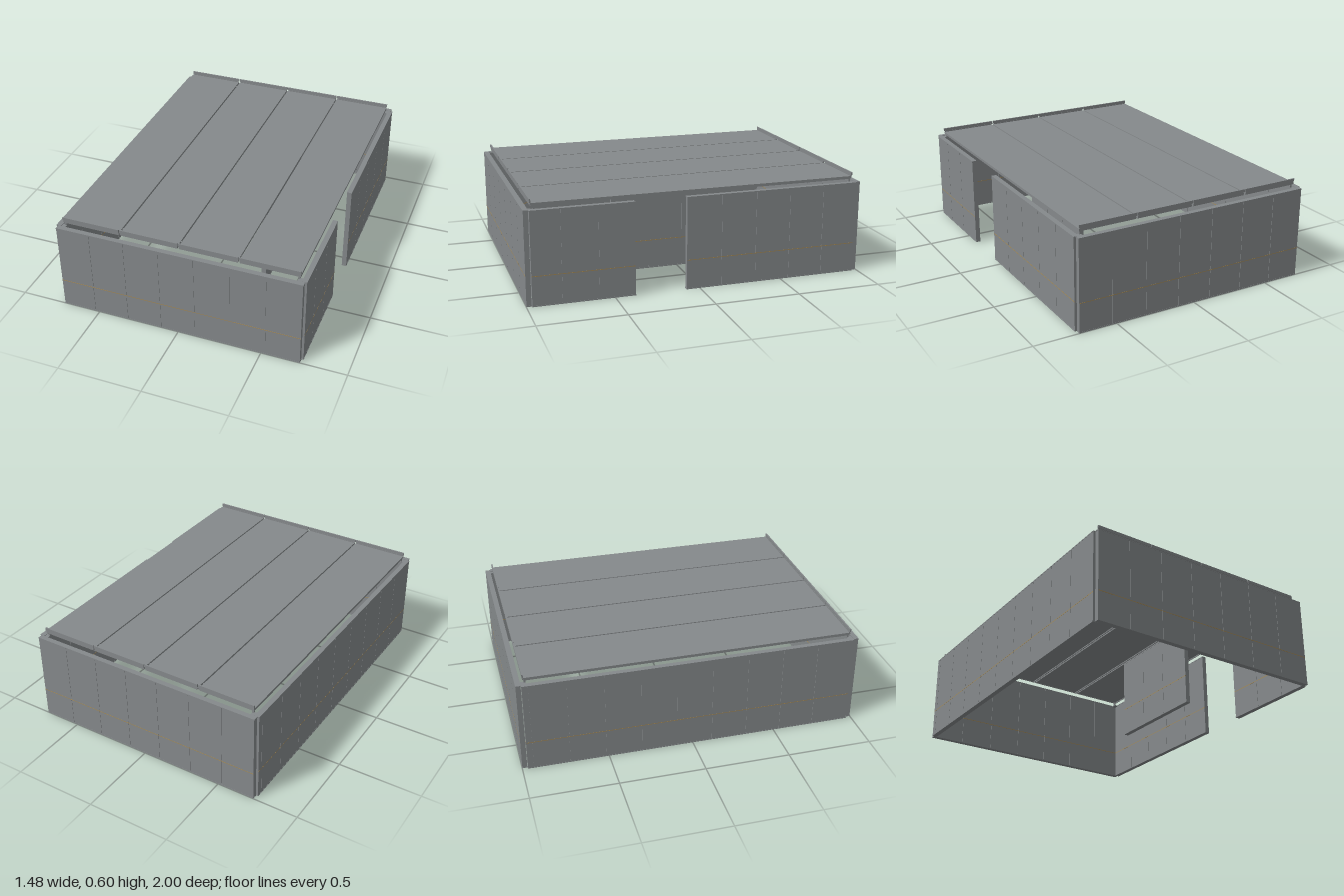
import * as THREE from 'three';

const steel = new THREE.MeshStandardMaterial({ color: 0x85898b });
steel.name = 'grey steel';
const tan = new THREE.MeshStandardMaterial({ color: 0xa58a55 });
tan.name = 'tan seam';

const THICK = 0.028, WALL_H = 0.547, BOARD = 0.21, GAP = 0.002;

function box(parent, name, mat, w, h, d, x, y, z) {
  const mesh = new THREE.Mesh(new THREE.BoxGeometry(w, h, d), mat);
  mesh.name = name;
  mesh.position.set(x, y, z);
  parent.add(mesh);
  return mesh;
}

// Wall running along local x from a to b, made of boards on a thin core.
// Boards are laid out from the first joint position.
function wall(name, a, b, firstJoint, height) {
  const g = new THREE.Group();
  g.name = name;
  const len = b - a, mid = (a + b) / 2, rim = 0.006;
  const joints = [a];
  for (let j = firstJoint; j < b - 0.01; j += BOARD) joints.push(j);
  joints.push(b);
  for (let i = 0; i + 1 < joints.length; i++) {
    const l = joints[i], r = joints[i + 1];
    box(g, 'wallBoard', steel, r - l - GAP, height - 2 * rim, THICK, (l + r) / 2, height / 2, 0);
  }
  box(g, 'wallCore', steel, len - 0.006, height - 0.004, THICK - 0.006, mid, height / 2, 0);
  // Channels along the bottom and top
  box(g, 'bottomChannel', steel, len, rim, THICK + 0.002, mid, rim / 2, 0);
  box(g, 'topChannel', steel, len, rim, THICK + 0.002, mid, height - rim / 2, 0);
  // Thin horizontal seam showing on both faces
  box(g, 'seamStrip', tan, len - 0.004, 0.004, THICK + 0.001, mid, 0.175, 0);
  return g;
}

export function createModel() {
  const model = new THREE.Group();
  model.name = 'panelEnclosure';

  // Front and back walls
  for (const s of [1, -1]) {
    const w = wall(s > 0 ? 'frontWall' : 'backWall', -0.728, 0.728, -0.525, WALL_H);
    w.position.z = s * 0.985;
    model.add(w);
  }

  // Side walls and the inner screen run along z
  const along = (name, z0, z1, joint, x, h) => {
    const w = wall(name, -z1, -z0, -joint, h);
    w.rotation.y = Math.PI / 2;
    w.position.x = x;
    model.add(w);
  };
  along('rightWall', -0.969, 0.969, 0.745, -0.725, WALL_H);
  along('leftWallFront', 0.38, 0.969, 0.8, 0.725, WALL_H);
  along('leftWallBack', -0.969, 0.08, -0.13, 0.725, WALL_H);
  along('entranceScreen', -0.25, 0.41, 0.18, 0.31, 0.512);

  // Roof panels with raised lips at both ends
  const pitch = 0.3525, width = 0.344;
  for (let i = 0; i < 4; i++) {
    const panel = new THREE.Group();
    panel.name = 'roofPanel';
    panel.position.x = (i - 1.5) * pitch;
    box(panel, 'roofSheet', steel, width, 0.01, 1.914, 0, 0.572, 0);
    for (const s of [1, -1]) {
      box(panel, 'roofLip', steel, width + 0.004, 0.018, 0.008, 0, 0.591, s * 0.956);
      box(panel, 'roofLipWeb', steel, width - 0.008, 0.02, 0.006, 0, 0.574, s * 0.954);
      box(panel, 'roofSideFlange', steel, 0.005, 0.008, 1.9, s * (width / 2 - 0.004), 0.564, 0);
    }
    model.add(panel);
  }

  // Small ties across the roof joints, and corner supports
  for (const s of [1, -1]) {
    for (const x of [-pitch, 0, pitch]) {
      box(model, 'roofTie', steel, 0.02, 0.006, 0.006, x, 0.57, s * 0.9);
    }
    for (const x of [-0.69, 0.69]) {
      box(model, 'cornerSupport', steel, 0.01, 0.03, 0.01, x, 0.553, s * 0.945);
      box(model, 'supportBracket', steel, 0.03, 0.006, 0.04, x + Math.sign(x) * 0.01, 0.541, s * 0.958);
    }
  }
  return model;
}
